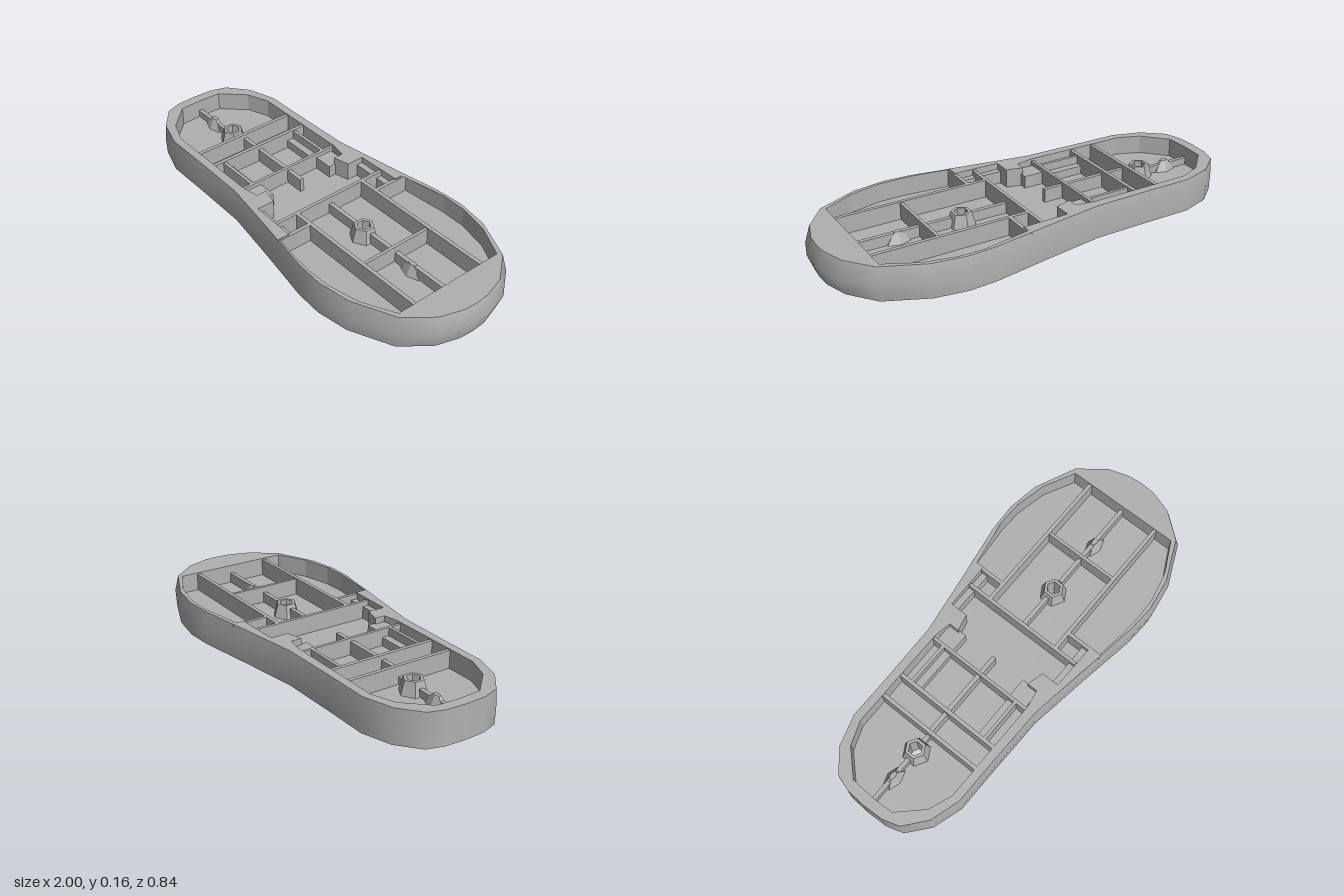
import * as THREE from 'three';

const FLOOR = 0.07, TOP = 0.16, HOLE = 0.032;

// Half outlines as [x, half width], heel to toe
const outerHalf = [[-1, 0], [-0.995, 0.1], [-0.97, 0.18], [-0.87, 0.265], [-0.73, 0.31], [-0.5, 0.312], [-0.22, 0.318],
  [0.08, 0.365], [0.36, 0.412], [0.5, 0.42], [0.66, 0.395], [0.86, 0.305], [0.96, 0.18], [0.995, 0.07], [1, 0]];
const cavityHalf = [[-0.95, 0], [-0.945, 0.11], [-0.84, 0.22], [-0.73, 0.262], [-0.22, 0.265], [-0.14, 0.25],
  [-0.14, 0.2], [-0.06, 0.22], [-0.06, 0.305], [0.165, 0.31], [0.165, 0.37], [0.4, 0.39], [0.52, 0.388],
  [0.67, 0.355], [0.82, 0.28], [0.82, 0]];

// Mirror a half outline into a closed loop, counter-clockwise from above
const loop = half => [...half, ...half.slice(1, -1).reverse().map(([x, w]) => [x, -w])]
  .map(([x, w]) => new THREE.Vector2(x, -w));

// Wall through stacked rings; each ring is { y, points }
function wall(rings, flat) {
  const n = rings[0].points.length, pos = [], index = [];
  for (const { y, points } of rings) for (const p of points) pos.push(p.x, y, -p.y);
  for (let r = 0; r < rings.length - 1; r++)
    for (let i = 0; i < n; i++) {
      const a = r * n + i, b = r * n + (i + 1) % n;
      index.push(a, b, b + n, a, b + n, a + n);
    }
  let g = new THREE.BufferGeometry();
  g.setAttribute('position', new THREE.Float32BufferAttribute(pos, 3));
  g.setIndex(index);
  if (flat) g = g.toNonIndexed();
  g.computeVertexNormals();
  return g;
}

// Flat horizontal plate with holes
function plate(points, holes, y, up = true) {
  const shape = new THREE.Shape(points);
  for (const h of holes) shape.holes.push(new THREE.Path(h));
  const g = new THREE.ShapeGeometry(shape);
  g.rotateX(up ? -Math.PI / 2 : Math.PI / 2);
  return g.translate(0, y, 0);
}

const hexAt = x => Array.from({ length: 6 }, (_, i) =>
  new THREE.Vector2(x + HOLE * Math.sin(i * Math.PI / 3), HOLE * Math.cos(i * Math.PI / 3)));

// Faceted six-sided turned part
function turned(profile) {
  const g = new THREE.LatheGeometry(profile.map(p => new THREE.Vector2(...p)), 6).toNonIndexed();
  g.computeVertexNormals();
  return g;
}

export function createModel() {
  const model = new THREE.Group();
  model.name = 'soleTray';
  const grey = new THREE.MeshStandardMaterial({ color: 0xb0b0b0 });
  grey.name = 'grey';
  const add = (name, geometry, x = 0, y = 0, z = 0) => {
    const mesh = new THREE.Mesh(geometry, grey);
    mesh.name = name;
    mesh.position.set(x, y, z);
    model.add(mesh);
    return mesh;
  };

  // Outer shell: widest at mid height, tucked in at the toe
  const outer = loop(outerHalf).reverse(), cavity = loop(cavityHalf).reverse();
  if (THREE.ShapeUtils.isClockWise(outer)) outer.reverse();
  if (THREE.ShapeUtils.isClockWise(cavity)) cavity.reverse();
  const tuck = (toe, side) => outer.map(p => new THREE.Vector2(p.x > 0 ? p.x * toe : p.x, p.y * side));
  const bottom = tuck(0.97, 0.985), rim = tuck(0.975, 0.97);
  add('outerWall', wall([{ y: 0, points: bottom }, { y: 0.08, points: outer }, { y: TOP, points: rim }], false));
  add('rim', plate(rim, [cavity], TOP));
  const inner = [...cavity].reverse();
  add('cavityWall', wall([{ y: FLOOR, points: inner }, { y: TOP, points: inner }], true));

  // Floor and underside
  const through = [-0.67, 0.3], blind = [-0.82, 0.61];
  add('floor', plate(cavity, through.map(hexAt), FLOOR));
  add('underside', plate(bottom, [...through, ...blind].map(hexAt), 0, false));

  // Hollow posts around the through holes
  for (const x of through)
    add('post', turned([[0.065, FLOOR], [0.047, 0.135], [HOLE, 0.135], [HOLE, 0]]), x);

  // Blind sockets underneath with bumps above
  for (const x of blind) {
    add('socket', turned([[0, 0.055], [HOLE, 0.05], [HOLE, 0]]), x);
    add('bump', turned([[0.035, FLOOR], [0.012, 0.122], [0, 0.122]]), x).scale.x = 1.8;
  }

  // Ribs given by x range, z range and top height
  const rib = (name, x0, x1, z0, z1, top) =>
    add(name, new THREE.BoxGeometry(x1 - x0, top - FLOOR, z1 - z0), (x0 + x1) / 2, (top + FLOOR) / 2, (z0 + z1) / 2);
  rib('heelCrossRib', -0.585, -0.567, -0.265, 0.265, 0.155);
  rib('archCrossRib', -0.465, -0.447, -0.265, 0.265, 0.155);
  rib('archCrossRib', -0.24, -0.225, -0.265, 0.265, 0.15);
  rib('waistCrossRib', 0.06, 0.076, -0.305, 0.305, 0.155);
  rib('toeCrossRib', 0.495, 0.51, -0.185, 0.185, 0.15);
  rib('heelCentreRib', -0.95, -0.72, -0.01, 0.01, 0.105);
  rib('heelCentreRib', -0.62, -0.58, -0.01, 0.01, 0.105);
  rib('archCentreRib', -0.57, -0.13, -0.01, 0.01, 0.135);
  rib('toeCentreRib', 0.07, 0.25, -0.01, 0.01, 0.12);
  rib('toeCentreRib', 0.35, 0.82, -0.01, 0.01, 0.12);
  for (const s of [-1, 1]) {
    const side = (name, x0, x1, z0, z1, top) =>
      rib(name, x0, x1, Math.min(s * z0, s * z1), Math.max(s * z0, s * z1), top);
    side('toeLongRib', 0.07, 0.82, 0.18, 0.198, 0.155);
    side('waistWall', 0.155, 0.172, 0.19, 0.37, 0.155);
    side('waistShelf', -0.06, 0.155, 0.275, 0.305, 0.13);
    side('archLongRib', -0.45, -0.235, 0.2, 0.215, 0.15);
    side('archStep', -0.45, -0.235, 0.165, 0.2, 0.11);
    side('waistBlock', -0.23, -0.13, 0.165, 0.255, 0.13);
  }
  return model;
}
